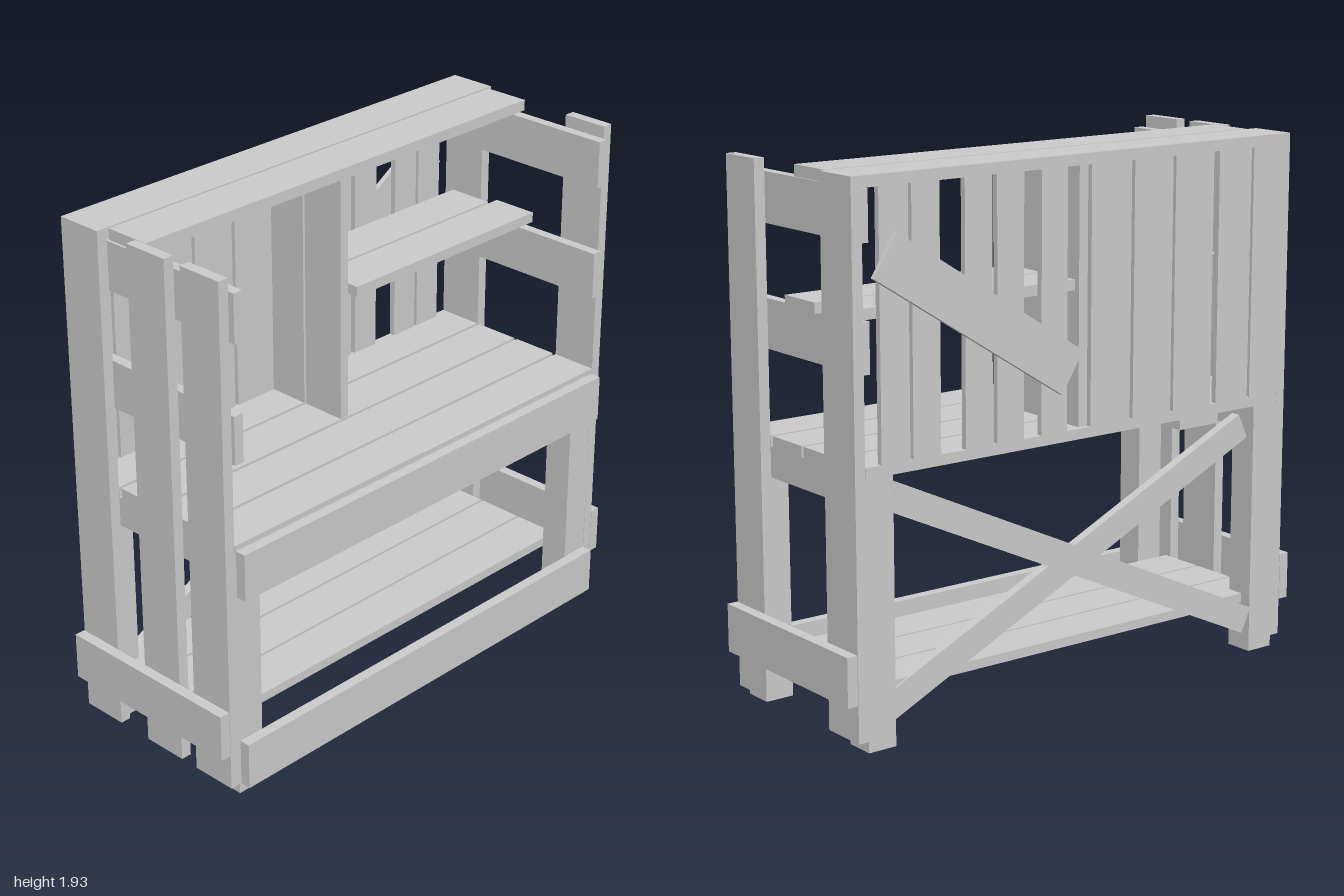
import * as THREE from 'three';

export function createModel() {
  const model = new THREE.Group();
  const material = new THREE.MeshStandardMaterial({ color: 0xcccccc, flatShading: true });

  // Board given by its extents along each axis
  function board(name, [x0, x1], [y0, y1], [z0, z1]) {
    const mesh = new THREE.Mesh(new THREE.BoxGeometry(x1 - x0, y1 - y0, z1 - z0), material);
    mesh.position.set((x0 + x1) / 2, (y0 + y1) / 2, (z0 + z1) / 2);
    mesh.name = name;
    model.add(mesh);
    return mesh;
  }
  // Extents mirrored to the chosen end
  const atEnd = (side, a, b) => (side > 0 ? [a, b] : [-b, -a]);

  // Both ends: legs, upright slats and cross rails
  for (const side of [1, -1]) {
    const legZ = atEnd(side, 0.805, 0.915);
    board('backLeg', [-0.38, -0.27], [0, 0.94], legZ);
    board('frontLeg', [0.255, 0.365], [0, 0.94], legZ);

    const slatZ = atEnd(side, 0.915, 0.955);
    board('backEndSlat', [-0.38, -0.202], [0.04, 1.89], slatZ);
    if (side > 0) board('middleEndSlat', [-0.06, 0.117], [0.04, 1.93], slatZ);
    board('frontEndSlat', [0.19, 0.366], [0.04, 1.93], slatZ);

    const railZ = atEnd(side, 0.877, 0.915);
    board('upperEndRail', [-0.36, side > 0 ? 0.39 : 0.38], [1.71, 1.885], railZ);
    board('middleEndRail', [-0.36, 0.38], [1.28, 1.455], railZ);
    board('shelfBearer', [-0.375, 0.36], [0.83, 0.94], atEnd(side, 0.865, 0.913));
    board('lowerEndBoard', [-0.38, 0.366], [0.175, 0.35], atEnd(side, 0.957, 0.997));
  }

  // Long front rails
  for (const y of [0.04, 0.783]) board('frontRail', [0.368, 0.408], [y, y + 0.175], [-0.91, 0.91]);

  // Worktop of four planks, with a batten underneath
  for (let i = 0; i < 4; i++) {
    const x = -0.38 + i * 0.19;
    board('worktopPlank', [x, x + 0.177], [0.94, 0.978], [-0.913, 0.913]);
  }
  board('worktopBatten', [-0.375, 0.36], [0.902, 0.939], [0.45, 0.63]);

  // Lower shelf of three planks
  for (let i = 0; i < 3; i++) {
    const x = -0.335 + i * 0.187;
    board('lowerShelfPlank', [x, x + 0.177], [0.18, 0.215], [-0.915, 0.915]);
  }

  // Roof planks
  board('backRoofPlank', [-0.38, -0.202], [1.89, 1.93], [-0.955, 0.955]);
  board('frontRoofPlank', [-0.192, -0.016], [1.89, 1.93], [-0.93, 0.913]);

  // Divider and small shelf beside it
  board('dividerBack', [-0.36, -0.2], [0.978, 1.89], [-0.008, 0.03]);
  board('dividerFront', [-0.19, -0.016], [0.978, 1.89], [-0.008, 0.03]);
  board('smallShelfBack', [-0.34, -0.163], [1.456, 1.494], [-0.912, -0.01]);
  board('smallShelfFront', [-0.152, 0.025], [1.456, 1.494], [-0.95, -0.01]);

  // Back panel: wide planks on one half, spaced narrow ones on the other
  const planks = [
    [0.78, 0.915], [0.615, 0.768], [0.41, 0.588], [0.222, 0.397], [0.03, 0.208],
    [-0.187, -0.075], [-0.375, -0.262], [-0.508, -0.395], [-0.722, -0.61], [-0.85, -0.735],
  ];
  for (const z of planks) board('backPlank', [-0.38, -0.358], [0.978, 1.89], z);

  // Slanted board fixed to the back
  const slanted = board('slantedBoard', [-0.41, -0.39], [1.345, 1.515], [-0.915, -0.005]);
  slanted.rotation.x = 0.56;

  // Crossed braces between the back legs
  [[-0.38, 1], [-0.342, -1]].forEach(([x, dir]) => {
    const brace = board('backBrace', [x, x + 0.036], [0.443, 0.543], [-0.88, 0.87]);
    brace.rotation.x = dir * 0.435;
  });

  return model;
}
